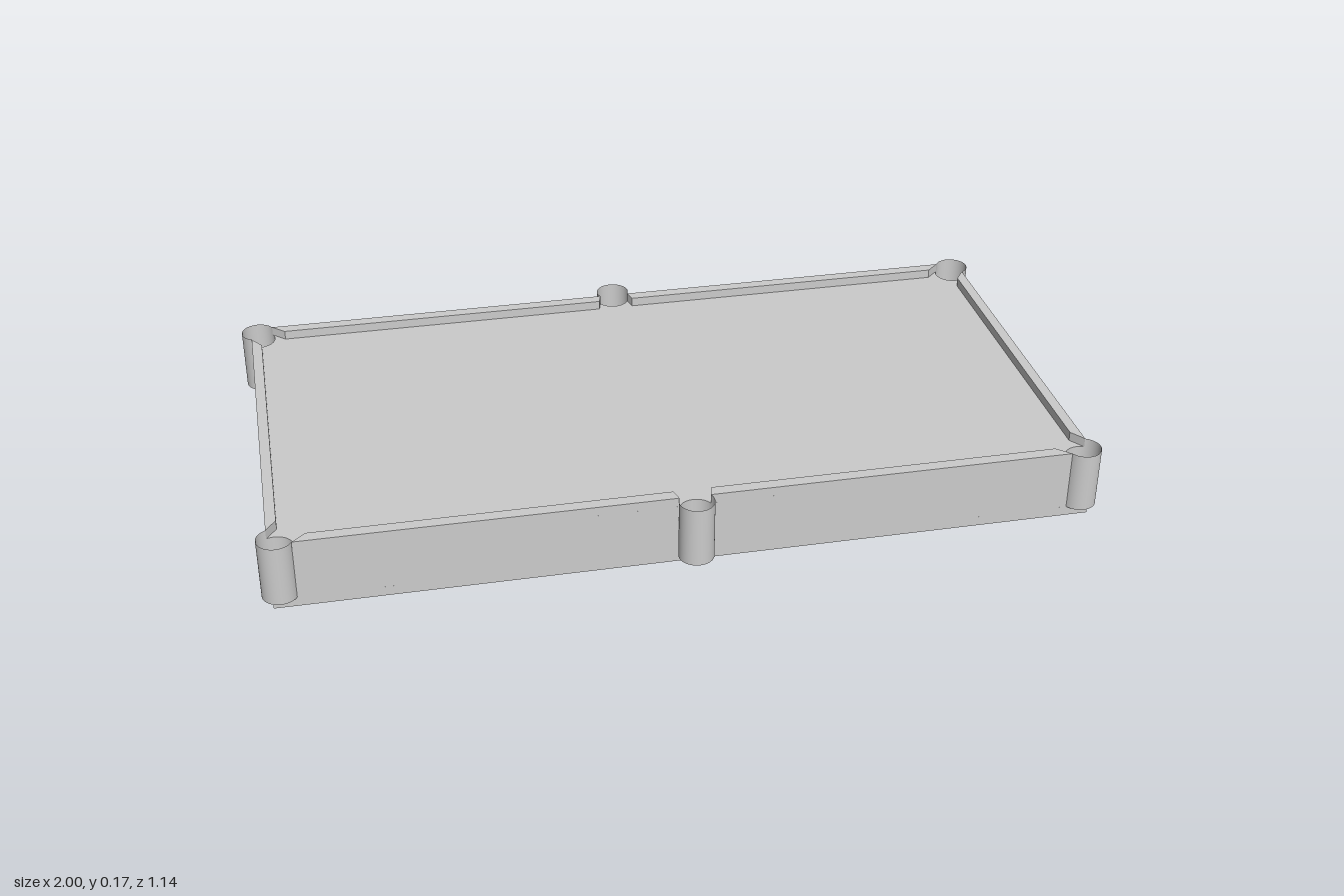
import * as THREE from 'three';

const W = 0.975, D = 0.508;              // half width and half depth of the body
const R = 0.042;                         // pocket radius
const FLOOR = 0.024, BED = 0.152, TOP = 0.175;

// Pockets in order round the table: centre, then where its circle enters and leaves the body outline
const POCKETS = [
  { name: 'backSidePocket', c: [0, -0.528], from: [-0.037, -D], to: [0.037, -D] },
  { name: 'backLeftPocket', c: [0.957, -0.488], from: [0.92, -D], to: [W, -0.45] },
  { name: 'frontLeftPocket', c: [0.957, 0.488], from: [W, 0.45], to: [0.92, D] },
  { name: 'frontSidePocket', c: [0, 0.528], from: [0.037, D], to: [-0.037, D] },
  { name: 'frontRightPocket', c: [-0.957, 0.488], from: [-0.92, D], to: [-W, 0.45] },
  { name: 'backRightPocket', c: [-0.957, -0.488], from: [-W, -0.45], to: [-0.92, -D] },
];

const angle = (c, p) => Math.atan2(p[1] - c[1], p[0] - c[0]);

// Extrude a plan shape (x, z) between two heights
function slab(shape, bottom, top) {
  const g = new THREE.ExtrudeGeometry(shape, { depth: top - bottom, bevelEnabled: false, curveSegments: 24 });
  return g.rotateX(Math.PI / 2).translate(0, top, 0);
}

export function createModel() {
  const model = new THREE.Group();
  const solid = new THREE.MeshStandardMaterial({ color: 0xcccccc });
  const thin = new THREE.MeshStandardMaterial({ color: 0xcccccc, side: THREE.DoubleSide });
  const add = (name, geometry, material = solid, parent = model) => {
    const mesh = new THREE.Mesh(geometry, material);
    mesh.name = name;
    parent.add(mesh);
    return mesh;
  };

  // Base plate under the whole table
  add('basePlate', new THREE.BoxGeometry(2 * W, FLOOR, 2 * D).translate(0, FLOOR / 2, 0));

  // Bed with a round notch for each pocket
  const outline = new THREE.Shape();
  POCKETS.forEach(({ c, from, to }) =>
    outline.absarc(c[0], c[1], R, angle(c, from), angle(c, to), true));
  outline.closePath();
  add('bed', slab(outline, FLOOR, BED));

  // Rails with angled ends at the pockets
  const rail = (name, points) =>
    add(name, slab(new THREE.Shape(points.map(([x, z]) => new THREE.Vector2(x, z))), BED, TOP));
  for (const sx of [1, -1]) {
    const side = sx > 0 ? 'Left' : 'Right';
    for (const sz of [1, -1]) {
      rail((sz > 0 ? 'front' : 'back') + side + 'Rail',
        [[0.045, 0.478], [0.888, 0.478], [0.92, D], [0.037, D]].map(([x, z]) => [x * sx, z * sz]));
    }
    rail('end' + side + 'Rail',
      [[0.95, -0.415], [0.95, 0.415], [W, 0.45], [W, -0.45]].map(([x, z]) => [x * sx, z]));
  }

  // Pocket cups: outer wall and floor
  for (const { name, c, from, to } of POCKETS) {
    const pocket = new THREE.Group();
    pocket.name = name;
    pocket.position.set(c[0], 0, c[1]);
    const start = angle(c, from), end = angle(c, to);
    const sweep = (end - start + 4 * Math.PI) % (2 * Math.PI);
    const wall = new THREE.CylinderGeometry(R, R, TOP - FLOOR, 32, 1, true, Math.PI / 2 - end, sweep);
    add('pocketWall', wall.translate(0, (TOP + FLOOR) / 2, 0), thin, pocket);
    add('pocketFloor', new THREE.CircleGeometry(R, 32).rotateX(-Math.PI / 2).translate(0, FLOOR + 0.001, 0), thin, pocket);
    model.add(pocket);
  }
  return model;
}
